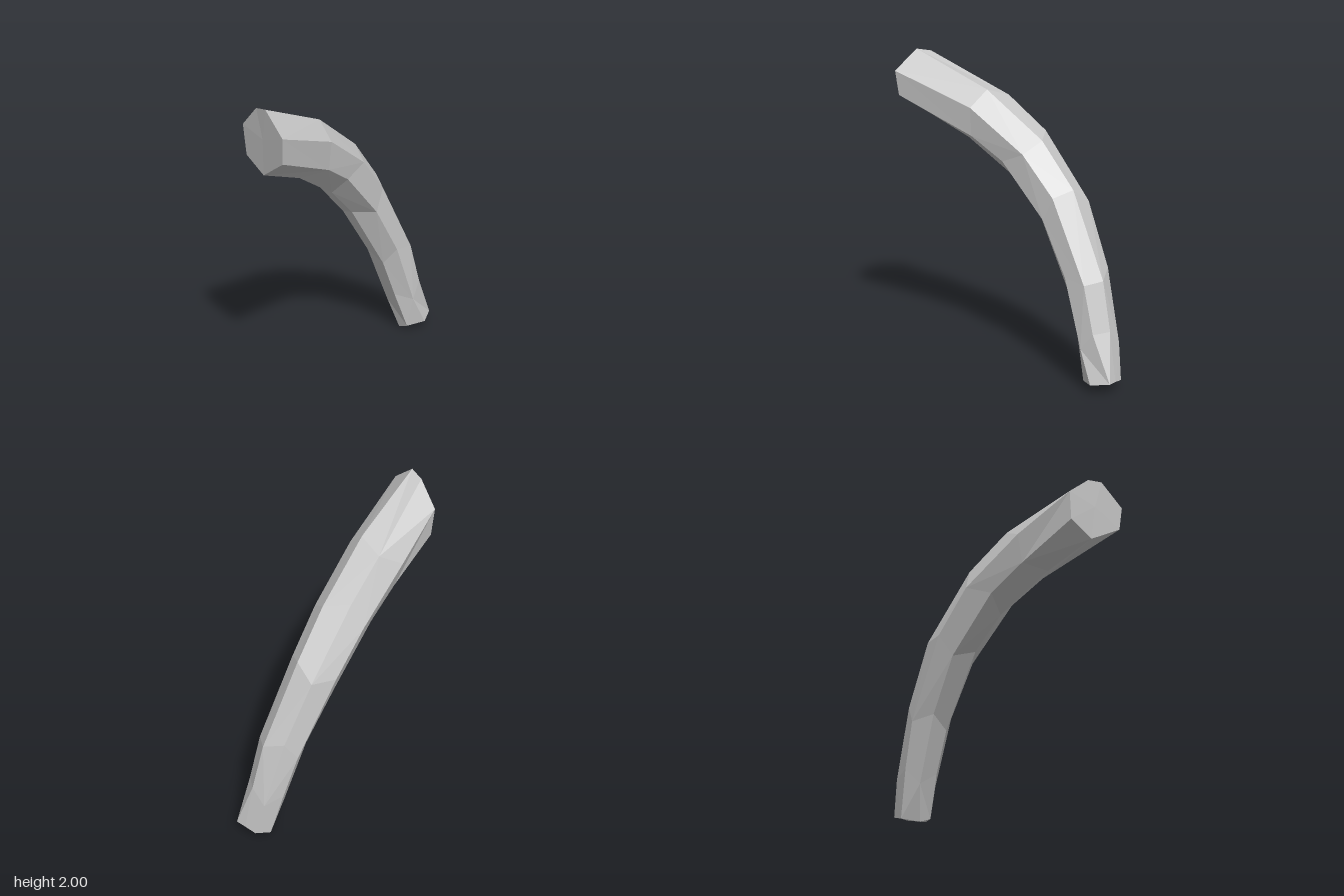
import * as THREE from 'three';

const SIDES = 7;
const V = (x, y, z) => new THREE.Vector3(x, y, z);

// Slanted wide end and narrow foot, corner by corner
const topEnd = [
  V(-0.58, 2.0, 0.48), V(-0.62, 1.98, 0.38), V(-0.685, 1.84, 0.24), V(-0.67, 1.65, 0.25),
  V(-0.59, 1.57, 0.4), V(-0.505, 1.71, 0.61), V(-0.505, 1.87, 0.632),
];
const footEnd = [
  V(0.63, 0.07, -0.58), V(0.57, 0.055, -0.632), V(0.47, 0.02, -0.6), V(0.45, 0, -0.48),
  V(0.49, 0.035, -0.41), V(0.62, 0.055, -0.42), V(0.68, 0.075, -0.53),
];

// Centre line between the ends: x, y, z, radius
const stations = [
  [-0.28, 1.6, 0.07, 0.193],
  [-0.06, 1.39, -0.16, 0.18],
  [0.15, 1.085, -0.34, 0.165],
  [0.36, 0.66, -0.455, 0.146],
  [0.475, 0.3, -0.5, 0.13],
];

function middleRings() {
  const centres = [V(-0.59, 1.79, 0.43), ...stations.map((s) => V(s[0], s[1], s[2])), V(0.56, 0.04, -0.53)];
  return stations.map((s, i) => {
    const along = centres[i + 2].clone().sub(centres[i]).normalize();
    const side = V(0.764, 0, 0.645);
    side.addScaledVector(along, -side.dot(along)).normalize();
    const outer = side.clone().cross(along);
    return Array.from({ length: SIDES }, (_, k) => {
      const a = (k / SIDES) * Math.PI * 2 - 0.35;
      // alternate corners slide along the limb for irregular facets
      const slide = (k + i) % 2 ? 0.04 : -0.04;
      return centres[i + 1].clone()
        .addScaledVector(outer, Math.cos(a) * s[3])
        .addScaledVector(side, -Math.sin(a) * s[3])
        .addScaledVector(along, slide);
    });
  });
}

function meshFrom(points, name, material) {
  const geometry = new THREE.BufferGeometry().setFromPoints(points);
  geometry.computeVertexNormals();
  const mesh = new THREE.Mesh(geometry, material);
  mesh.name = name;
  return mesh;
}

function endCap(ring, flip) {
  const centre = ring.reduce((sum, p) => sum.add(p), V(0, 0, 0)).divideScalar(SIDES);
  return ring.flatMap((p, k) => {
    const q = ring[(k + 1) % SIDES];
    return flip ? [centre, q, p] : [centre, p, q];
  });
}

export function createModel() {
  const grey = new THREE.MeshStandardMaterial({ color: 0xc8c8c8, flatShading: true });
  grey.name = 'plain grey';

  // Curved tapering body
  const rings = [topEnd, ...middleRings(), footEnd];
  const wall = [];
  for (let i = 0; i < rings.length - 1; i++) {
    for (let k = 0; k < SIDES; k++) {
      const n = (k + 1) % SIDES;
      const a = rings[i][k], b = rings[i][n], c = rings[i + 1][k], d = rings[i + 1][n];
      // the diagonal follows the staggered corners
      if ((k + i) % 2) wall.push(a, c, b, b, c, d);
      else wall.push(a, c, d, a, d, b);
    }
  }

  const group = new THREE.Group();
  group.name = 'curvedHorn';
  group.add(
    meshFrom(wall, 'body', grey),
    meshFrom(endCap(topEnd, false), 'upperEnd', grey),
    meshFrom(endCap(footEnd, true), 'lowerEnd', grey),
  );
  return group;
}
